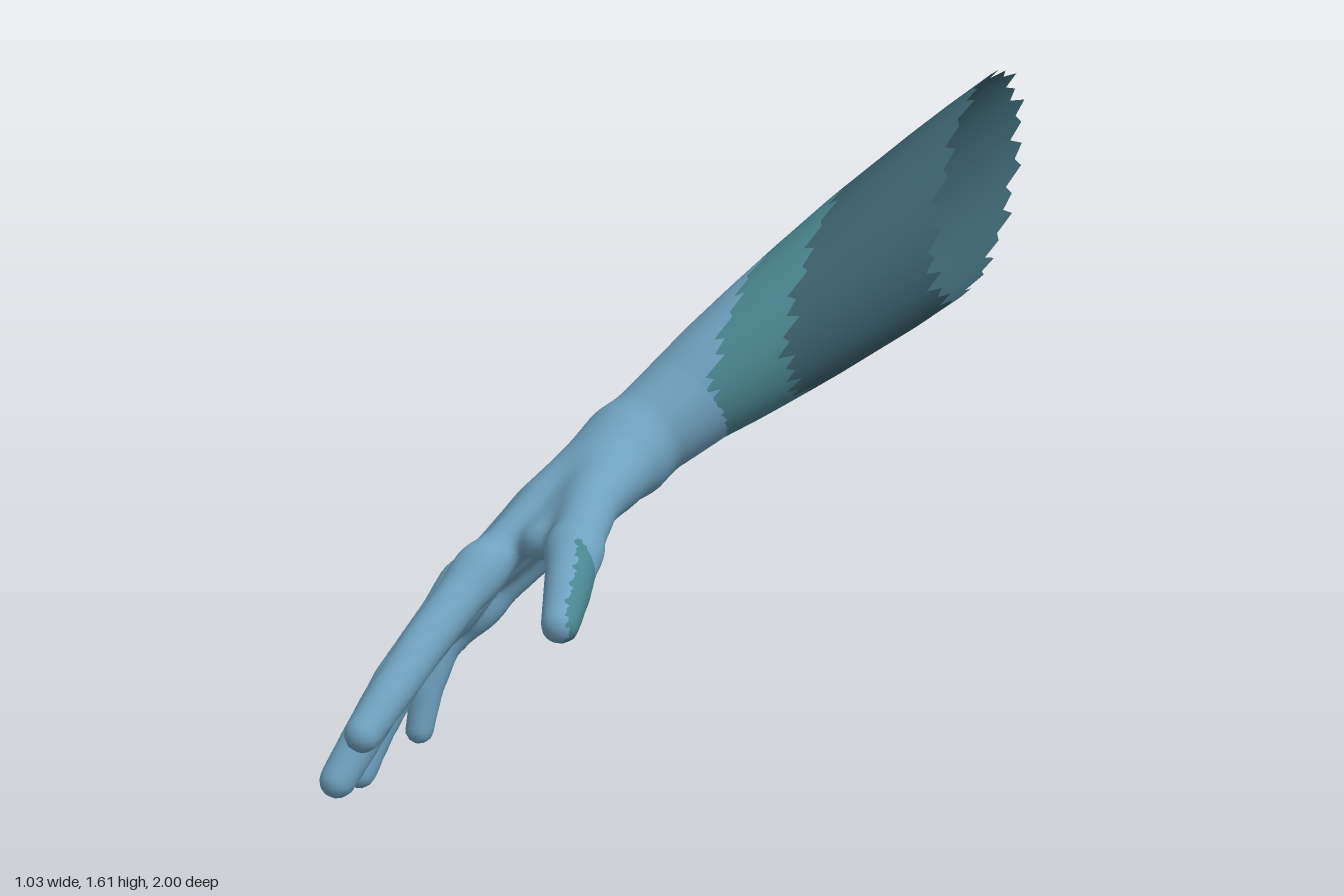
import * as THREE from 'three';

const V = (x, y, z) => new THREE.Vector3(x, y, z);
const mat = (name, color) =>
  Object.assign(new THREE.MeshStandardMaterial({ color, side: THREE.DoubleSide }), { name });

// Forearm axis, running from the wrist to the open end
const WRIST = V(-0.085, 0.748, 0.085);
const AXIS = V(0.5, 1.318, -0.68).sub(WRIST).normalize();
const onAxis = (s) => WRIST.clone().addScaledVector(AXIS, s);

// ---- Hand: chains of round cones [x, y, z, radius], blended smoothly ----
const INNER = [...onAxis(0.22).toArray(), 0.115];
const PALM = [
  [[-0.1, 0.72, 0.07, 0.094], INNER],                                   // wrist, two sides
  [[-0.07, 0.748, 0.108, 0.094], INNER],
  [[-0.11, 0.7, 0.085, 0.08], [-0.265, 0.505, 0.21, 0.062], [-0.365, 0.365, 0.325, 0.046]],
  [[-0.11, 0.71, 0.1, 0.08], [-0.24, 0.565, 0.28, 0.058], [-0.34, 0.42, 0.43, 0.046]],
  [[-0.09, 0.725, 0.12, 0.08], [-0.212, 0.612, 0.33, 0.056], [-0.29, 0.47, 0.52, 0.047]],
  [[-0.08, 0.73, 0.13, 0.08], [-0.16, 0.64, 0.365, 0.056], [-0.21, 0.53, 0.57, 0.048]],
  [[-0.23, 0.49, 0.6, 0.034], [-0.3, 0.41, 0.555, 0.034], [-0.37, 0.36, 0.465, 0.032], [-0.385, 0.34, 0.36, 0.03]], // finger webs
  [[-0.08, 0.66, 0.25, 0.058], [-0.09, 0.592, 0.505, 0.043]],           // thumb web
  [[-0.065, 0.71, 0.17, 0.075], [-0.025, 0.66, 0.4, 0.064], [0.03, 0.6, 0.57, 0.056]],
];
const FINGERS = [
  [[-0.21, 0.53, 0.57, 0.055], [-0.24, 0.405, 0.755, 0.051], [-0.252, 0.318, 0.88, 0.046], [-0.262, 0.26, 0.955, 0.041]],
  [[-0.29, 0.47, 0.52, 0.053], [-0.36, 0.285, 0.7, 0.049], [-0.39, 0.168, 0.797, 0.045], [-0.412, 0.093, 0.853, 0.041]],
  [[-0.34, 0.42, 0.43, 0.05], [-0.43, 0.25, 0.56, 0.046], [-0.465, 0.125, 0.635, 0.042], [-0.483, 0.037, 0.678, 0.038]],
  [[-0.365, 0.365, 0.325, 0.045], [-0.43, 0.27, 0.41, 0.042], [-0.453, 0.165, 0.447, 0.038], [-0.463, 0.073, 0.466, 0.034]],
  [[0.03, 0.6, 0.57, 0.059], [0.077, 0.542, 0.68, 0.051], [0.107, 0.498, 0.76, 0.041]],
];

function cone(x, y, z, a, b) {
  const dx = b[0] - a[0], dy = b[1] - a[1], dz = b[2] - a[2];
  const px = x - a[0], py = y - a[1], pz = z - a[2];
  const t = Math.min(1, Math.max(0, (px * dx + py * dy + pz * dz) / (dx * dx + dy * dy + dz * dz)));
  return Math.hypot(px - t * dx, py - t * dy, pz - t * dz) - a[3] - t * (b[3] - a[3]);
}
function blend(a, b, k) {
  const h = Math.max(k - Math.abs(a - b), 0) / k;
  return Math.min(a, b) - h * h * k / 4;
}
function chain(x, y, z, pts) {
  let d = 9;
  for (let i = 1; i < pts.length; i++) d = Math.min(d, cone(x, y, z, pts[i - 1], pts[i]));
  return d;
}
function handField(x, y, z) {
  let palm = 9, fingers = 9;
  for (const p of PALM) palm = blend(palm, chain(x, y, z, p), 0.06);
  for (const f of FINGERS) fingers = Math.min(fingers, chain(x, y, z, f));
  return blend(palm, fingers, 0.035);
}

// Skin a distance field: one vertex per crossed cell, one quad per crossed edge
function skin(field, min, max, h) {
  const n = [0, 1, 2].map((a) => Math.ceil((max[a] - min[a]) / h) + 1);
  const step = [1, n[0], n[0] * n[1]];
  const d = new Float32Array(n[0] * n[1] * n[2]).fill(1);
  const each = (lo, fn) => {
    for (let k = lo; k < n[2] - 1; k++)
      for (let j = lo; j < n[1] - 1; j++)
        for (let i = lo; i < n[0] - 1; i++) fn(i, j, k, i + j * step[1] + k * step[2]);
  };
  each(0, (i, j, k, id) => { d[id] = field(min[0] + i * h, min[1] + j * h, min[2] + k * h); });
  const cell = new Int32Array(d.length).fill(-1), pos = [], nor = [], index = [];
  each(0, (i, j, k, id) => {
    const sum = [0, 0, 0];
    let count = 0;
    for (let a = 0; a < 3; a++) {
      for (let c = 0; c < 8; c++) {
        if (c >> a & 1) continue;
        const o = [c & 1, c >> 1 & 1, c >> 2 & 1];
        const p = id + o[0] + o[1] * step[1] + o[2] * step[2];
        const d0 = d[p], d1 = d[p + step[a]];
        if (d0 < 0 === d1 < 0) continue;
        o[a] = d0 / (d0 - d1);
        for (let q = 0; q < 3; q++) sum[q] += o[q];
        count++;
      }
    }
    if (!count) return;
    const [x, y, z] = [i, j, k].map((v, q) => min[q] + h * (v + sum[q] / count));
    const e = 0.015;
    const g = V(field(x + e, y, z) - field(x - e, y, z), field(x, y + e, z) - field(x, y - e, z),
      field(x, y, z + e) - field(x, y, z - e)).normalize();
    cell[id] = pos.length / 3;
    pos.push(x, y, z);
    nor.push(g.x, g.y, g.z);
  });
  each(1, (i, j, k, id) => {
    for (let a = 0; a < 3; a++) {
      if (d[id] < 0 === d[id + step[a]] < 0) continue;
      const u = step[(a + 1) % 3], v = step[(a + 2) % 3];
      const q = [cell[id - u - v], cell[id - v], cell[id], cell[id - u]];
      if (q.includes(-1)) continue;
      if (d[id] >= 0) q.reverse();
      index.push(q[0], q[1], q[2], q[0], q[2], q[3]);
    }
  });
  return { pos, nor, index };
}

function toGeometry(pos, lists, nor) {
  const g = new THREE.BufferGeometry();
  g.setAttribute('position', new THREE.Float32BufferAttribute(pos, 3));
  g.setIndex(lists.flat());
  let start = 0;
  lists.forEach((l, m) => { g.addGroup(start, l.length, m); start += l.length; });
  if (nor) g.setAttribute('normal', new THREE.Float32BufferAttribute(nor, 3));
  else g.computeVertexNormals();
  return g;
}

function handGeometry() {
  const { pos, nor, index } = skin(handField, [-0.58, -0.05, -0.28], [0.26, 1.1, 1.05], 0.013);
  // The outer face of the thumb tip is teal
  const lists = [[], []];
  for (let t = 0; t < index.length; t += 3) {
    const v = index[t] * 3;
    const thumbTip = pos[v] > 0.02 && pos[v + 2] > 0.61 && nor[v] > 0.42 && nor[v + 2] < 0.5;
    lists[thumbTip ? 1 : 0].push(index[t], index[t + 1], index[t + 2]);
  }
  return toGeometry(pos, lists, nor);
}

// ---- Forearm: hollow tube whose bands and open end are cut by upright planes ----
function forearmGeometry() {
  const cols = 56;
  const v = AXIS.clone().cross(V(1, 0, 0)).normalize();  // across, no x part
  const u = v.clone().cross(AXIS);                       // across, towards x
  const knots = [[-0.2, 0.09], [0.04, 0.1], [0.16, 0.124], [0.3, 0.146], [0.5, 0.17], [0.78, 0.195], [1.1, 0.208], [1.5, 0.21]];
  const radius = (s) => {
    let i = 1;
    while (i < knots.length - 1 && s > knots[i][0]) i++;
    const [a, b] = [knots[i - 1], knots[i]];
    return THREE.MathUtils.mapLinear(s, a[0], b[0], a[1], b[1]);
  };
  // The tube flattens slightly towards the open end
  const flat = (s) => THREE.MathUtils.smoothstep(s, 0.6, 1.2);
  const along = (s, a) => radius(s) * (1 - 0.1 * flat(s)) * Math.cos(a);
  // [distance along the axis, jag depth, colour of the strip that follows]
  const rows = [[0.05, 0, 0], [0.12, 0, 0], [0.2, 0, 0], [0.28, 0, 0], [0.355, 0.026, 1], [0.44, 0, 1],
    [0.53, 0, 1], [0.62, 0.026, 2], [0.72, 0, 2], [0.84, 0, 2], [0.97, 0, 2], [1.115, 0.024, 2]];
  const pos = [], lists = [[], [], []];
  rows.forEach(([s0, jag, colour], r) => {
    const slant = THREE.MathUtils.clamp((s0 - 0.05) / 0.305, 0, 1) * u.x / AXIS.x;
    for (let c = 0; c < cols; c++) {
      const a = c / cols * Math.PI * 2;
      let s = s0;
      for (let it = 0; it < 8; it++) s = s0 - slant * along(s, a);
      s += jag * ((c % 2 ? 0.7 : -0.7) + 0.5 * Math.sin(c * 1.3 + r));
      const p = onAxis(s).addScaledVector(u, along(s, a))
        .addScaledVector(v, radius(s) * (1 + 0.1 * flat(s)) * Math.sin(a));
      pos.push(p.x, p.y, p.z);
      if (r === rows.length - 1) continue;
      const a0 = r * cols + c, b0 = r * cols + (c + 1) % cols;
      lists[colour].push(a0, b0, b0 + cols, a0, b0 + cols, a0 + cols);
    }
  });
  return toGeometry(pos, lists);
}

export function createModel() {
  const model = new THREE.Group();
  model.name = 'arm';
  const skinBlue = mat('skin blue', 0x6fa1bf);
  const teal = mat('teal', 0x4a858f);
  const darkTeal = mat('dark teal', 0x3b626d);

  const hand = new THREE.Mesh(handGeometry(), [skinBlue, teal]);
  hand.name = 'hand';
  const forearm = new THREE.Mesh(forearmGeometry(), [skinBlue, teal, darkTeal]);
  forearm.name = 'forearm';
  model.add(hand, forearm);
  return model;
}
